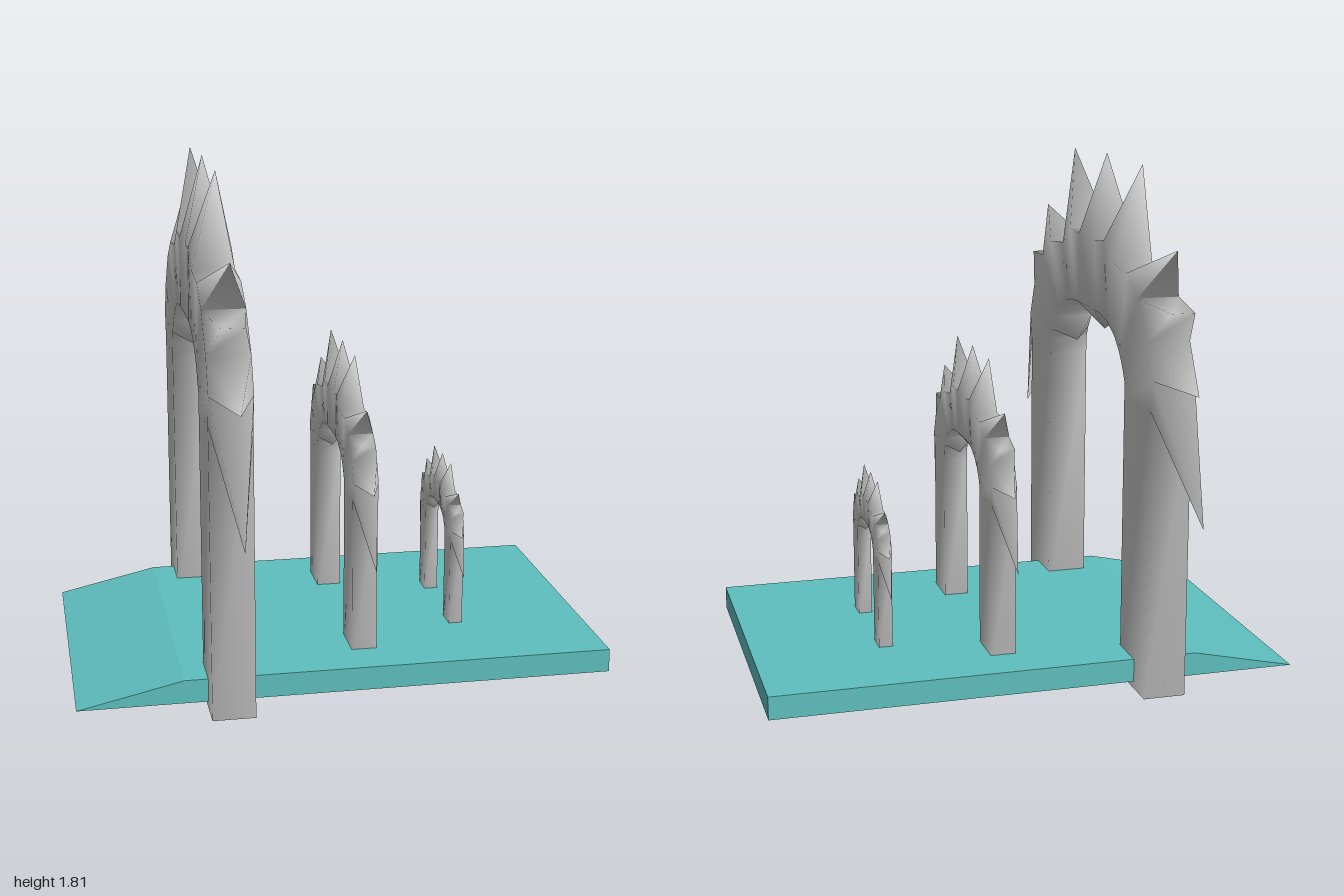
import * as THREE from 'three';

const HALF_WIDTH = 0.074;

// Half of the arch, foot to crown: [outer z, outer y, inner z, inner y]
const HALF = [
  [0.68, 0, 0.43, 0],
  [0.68, 1.02, 0.43, 1.0],
  [0.70, 1.12, 0.43, 1.06],
  [0.65, 1.24, 0.41, 1.10],
  [0.54, 1.37, 0.37, 1.155],
  [0.43, 1.44, 0.32, 1.20],
  [0.28, 1.455, 0.24, 1.24],
  [0.19, 1.52, 0.17, 1.255],
  [0.09, 1.51, 0.09, 1.26],
];

// Spikes by segment: [tip z, tip y, half width of the tip]
const OUTER = {
  1: [0.99, 0.69, 0], 2: [0.925, 1.11, 0], 3: [0.775, 1.355, 0.04],
  4: [0.71, 1.55, 0], 6: [0.37, 1.80, 0], 8: [0, 1.81, 0],
};
const INNER = { 3: [0.32, 1.07, 0], 8: [0, 1.17, 0] };

function archGeometry() {
  const mirrored = HALF.slice().reverse().map(([oz, oy, iz, iy]) => [-oz, oy, -iz, iy]);
  const stations = [...HALF, ...mirrored];
  const last = stations.length - 1;
  const points = [];
  const index = [];
  const add = (x, y, z) => points.push(x, y, z) / 3 - 1;
  const quad = (a, b, c, d) => {
    if (a !== b) index.push(a, b, c);
    if (c !== d) index.push(a, c, d);
  };
  const ring = ([oz, oy, iz, iy]) => [
    add(-HALF_WIDTH, oy, oz), add(HALF_WIDTH, oy, oz),
    add(HALF_WIDTH, iy, iz), add(-HALF_WIDTH, iy, iz),
  ];

  // Pull a face out to a point, or to a short ridge
  const spike = (a, b, c, d, [z, y, r], side, inner) => {
    const s = inner ? -1 : 1;
    const p = add(-r * s, y, z * side);
    const q = r ? add(r * s, y, z * side) : p;
    index.push(a, b, q, b, c, q, c, d, p, d, a, p);
    if (r) index.push(a, q, p, c, p, q);
  };

  const rings = stations.map(ring);
  for (let i = 0; i < last; i++) {
    const segment = Math.min(i, last - 1 - i);
    const side = i < last / 2 ? 1 : -1;
    for (let k = 0; k < 4; k++) {
      const n = (k + 1) % 4;
      const face = [rings[i][k], rings[i][n], rings[i + 1][n], rings[i + 1][k]];
      const tip = k === 0 ? OUTER[segment] : k === 2 ? INNER[segment] : null;
      if (tip) spike(...face, tip, side, k === 2);
      else quad(...face);
    }
  }

  // Flat soles under both feet
  quad(...ring(stations[0]).reverse());
  quad(...ring(stations[last]));

  const geometry = new THREE.BufferGeometry();
  geometry.setAttribute('position', new THREE.Float32BufferAttribute(points, 3));
  geometry.setIndex(index);
  geometry.computeVertexNormals();
  return geometry;
}

export function createModel() {
  const group = new THREE.Group();

  // Base slab with a ramp at one end
  const profile = new THREE.Shape([
    new THREE.Vector2(-0.935, 0.025), new THREE.Vector2(0.935, 0.025),
    new THREE.Vector2(0.935, 0.107), new THREE.Vector2(-0.57, 0.107),
  ]);
  const slab = new THREE.ExtrudeGeometry(profile, { depth: 1.15, bevelEnabled: false });
  slab.translate(0, 0, -0.575);
  const base = new THREE.Mesh(slab, new THREE.MeshStandardMaterial({ color: 0x5fbfbf }));
  base.name = 'rampedBase';
  group.add(base);

  // Three spiked arches, shrinking along the base
  const geometry = archGeometry();
  const grey = new THREE.MeshStandardMaterial({ color: 0xcccccc });
  const arches = [
    ['largeArch', -0.415, 0, 1],
    ['mediumArch', 0.085, 0.045, 0.602],
    ['smallArch', 0.465, 0.088, 0.333],
  ];
  for (const [name, x, y, scale] of arches) {
    const arch = new THREE.Mesh(geometry, grey);
    arch.name = name;
    arch.position.set(x, y, 0);
    arch.scale.setScalar(scale);
    group.add(arch);
  }
  return group;
}
